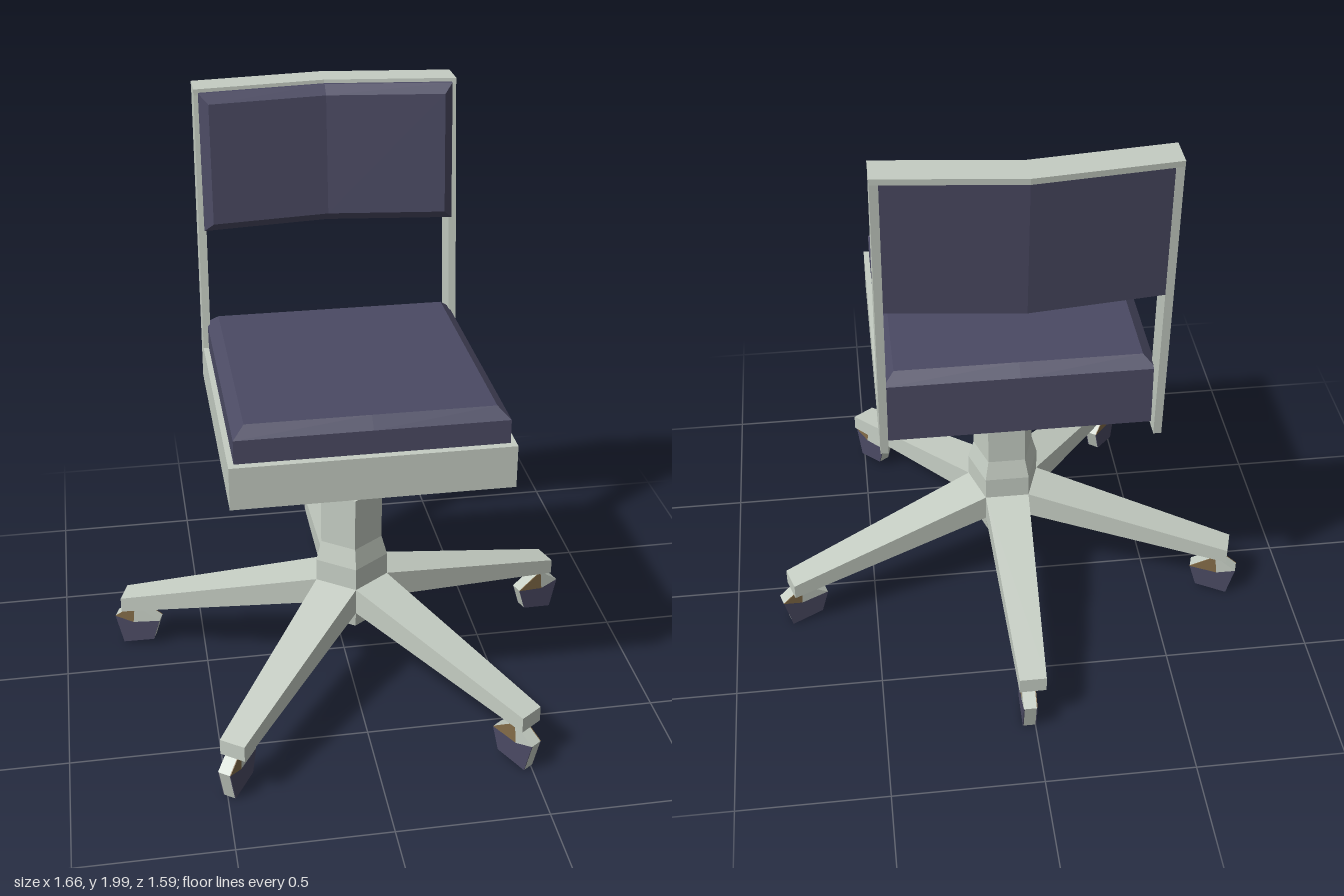
import * as THREE from 'three';

const grey = new THREE.MeshStandardMaterial({ color: 0xc5cdc3 });
grey.name = 'paleGreyFrame';
const navy = new THREE.MeshStandardMaterial({ color: 0x4b4a63 });
navy.name = 'darkBlueFabric';
const brown = new THREE.MeshStandardMaterial({ color: 0x836c48 });
brown.name = 'brown';

const CX = 0.008; // sideways centre of the chair
const CZ = 0.08;  // column position from back to front

// Gives every face its own flat normal
function flat(geo) {
  const g = geo.index ? geo.toNonIndexed() : geo;
  g.computeVertexNormals();
  return g;
}

function add(parent, name, geo, mat) {
  const m = new THREE.Mesh(flat(geo), mat);
  m.name = name;
  parent.add(m);
  return m;
}

// Moves each vertex by a rule
function warp(geo, rule) {
  const p = geo.attributes.position;
  const v = new THREE.Vector3();
  for (let i = 0; i < p.count; i++) {
    rule(v.fromBufferAttribute(p, i));
    p.setXYZ(i, v.x, v.y, v.z);
  }
  return geo;
}

// Box whose front (+z) edges are bevelled
function cushion(w, h, d, bevel, inset) {
  return warp(new THREE.BoxGeometry(w, h, d, 2, 1, 2), (v) => {
    if (v.z > d / 4) {
      v.x -= Math.sign(v.x) * inset;
      v.y -= Math.sign(v.y) * inset;
    } else if (v.z > -d / 4) v.z = d / 2 - bevel;
  });
}

// Leans back with height and bows back toward the middle
function bow(geo) {
  return warp(geo, (v) => {
    v.z -= 0.087 * (v.y - 1.52) + 0.05 * Math.max(0, 1 - Math.abs(v.x) / 0.43);
    v.x += CX;
  });
}

function polygon(points) {
  return new THREE.Shape(points.map(([x, y]) => new THREE.Vector2(x, y)));
}

function slab(points, depth, z) {
  return new THREE.ExtrudeGeometry(polygon(points), { depth, bevelEnabled: false }).translate(0, 0, z);
}

// Five-sided wheel, with coloured thin plates on both sides
function makeCaster() {
  const g = new THREE.Group();
  g.name = 'caster';
  const inner = [0.7, 0.11], top = [0.79, 0.17], outer = [0.865, 0.115];
  const low = [0.838, 0.005], lowInner = [0.725, 0.028], hub = [0.798, 0.095];
  add(g, 'wheelRim', slab([inner, lowInner, low, outer, top], 0.04, -0.008), grey);
  for (const side of [1, -1]) {
    const z = side > 0 ? 0.032 : -0.011;
    add(g, 'wheelLowerPlate', slab([inner, lowInner, low, outer, hub], 0.003, z), navy);
    add(g, 'wheelInnerPlate', slab([inner, hub, top], 0.003, z), side > 0 ? brown : grey);
    add(g, 'wheelOuterPlate', slab([top, hub, outer], 0.003, z), side > 0 ? grey : brown);
  }
  return g;
}

function makeBase() {
  const base = new THREE.Group();
  base.name = 'base';
  base.position.set(CX, 0, CZ);

  // Five-sided column and the narrower lift post
  const turned = (pts) => new THREE.LatheGeometry(pts.map(([r, y]) => new THREE.Vector2(r, y)), 5);
  add(base, 'column', turned([[0, 0.235], [0.12, 0.235], [0.131, 0.295], [0.131, 0.47],
    [0.111, 0.54], [0.111, 0.73], [0, 0.73]]), grey);
  add(base, 'liftPost', turned([[0, 0.72], [0.063, 0.72], [0.063, 0.975], [0, 0.975]]), grey);

  // Tapered legs, each ending in a caster
  for (let i = 0; i < 5; i++) {
    const leg = new THREE.Group();
    leg.name = 'leg' + (i + 1);
    leg.rotation.y = Math.PI / 2 + (i * Math.PI * 2) / 5;
    const geo = warp(new THREE.BoxGeometry(1, 1, 1), (v) => {
      const end = v.x > 0, up = v.y > 0;
      v.x = end ? 0.83 : 0.106;
      v.y = end ? (up ? 0.215 : 0.16) : (up ? 0.39 : 0.295);
      v.z = Math.sign(v.z) * (end ? 0.045 : 0.077);
    });
    // One leg, at the front right, has a brown underside
    const under = i === 2 ? brown : grey;
    add(leg, 'legArm', geo, [grey, grey, grey, under, grey, grey]);
    leg.add(makeCaster());
    base.add(leg);
  }
  return base;
}

function makeFrame() {
  const frame = new THREE.Group();
  frame.name = 'frame';

  // L-shaped sides: seat rail and leaning back post in one piece
  const profile = [[-0.555, 0.95], [0.42, 0.95], [0.513, 1.985], [0.408, 1.985], [0.33, 1.095], [-0.555, 1.095]];
  for (const side of [1, -1]) {
    const geo = slab(profile, 0.026, -0.013).rotateY(Math.PI / 2);
    geo.translate(CX + side * 0.4385, 0, 0);
    warp(geo, (v) => { if (v.y > 1.5) v.x -= side * 0.008; });
    add(frame, side > 0 ? 'leftSideFrame' : 'rightSideFrame', geo, grey);
  }
  add(frame, 'frontRail', new THREE.BoxGeometry(0.87, 0.145, 0.025).translate(CX, 1.0225, 0.5425), grey);

  // Bowed rail across the top of the back
  const rail = new THREE.BoxGeometry(0.888, 0.02, 0.108, 2, 1, 1).translate(0, 1.987, -0.419);
  add(frame, 'topRail', bow(rail), grey);
  return frame;
}

export function createModel() {
  const chair = new THREE.Group();
  chair.name = 'officeChair';
  chair.add(makeBase(), makeFrame());

  // Upholstery
  const seat = cushion(0.866, 0.905, 0.245, 0.035, 0.038).rotateX(-Math.PI / 2);
  add(chair, 'seatCushion', seat.translate(CX, 1.0875, 0.0775), navy);
  const back = cushion(0.858, 0.465, 0.145, 0.03, 0.03).translate(0, 1.7525, -0.3975);
  add(chair, 'backCushion', bow(back), navy);
  return chair;
}
